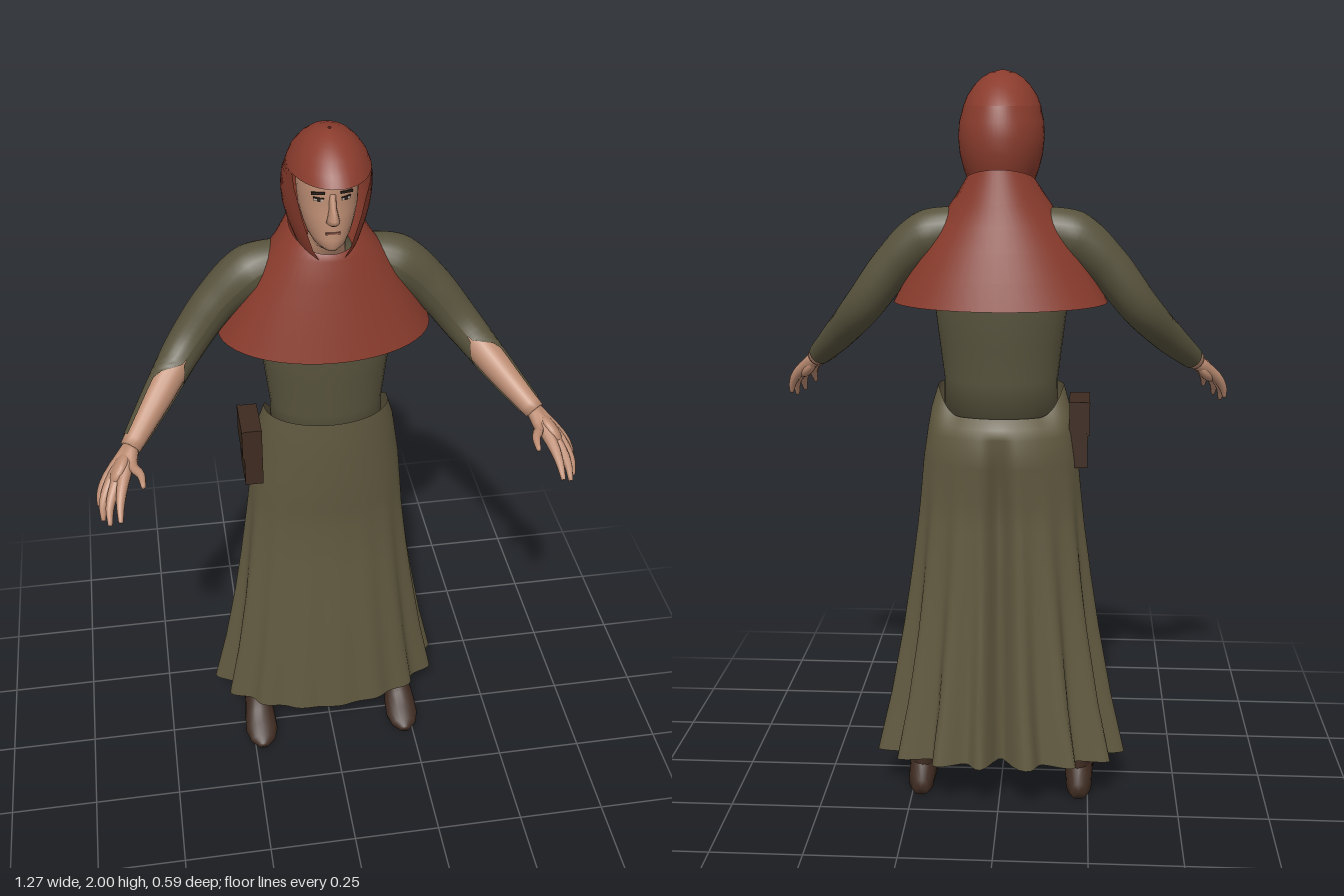
import * as THREE from 'three';

const mat = (name, color, side = THREE.FrontSide) => {
  const m = new THREE.MeshStandardMaterial({ color, side });
  m.name = name;
  return m;
};
const V = (x, y, z) => new THREE.Vector3(x, y, z);

// Skin a list of equal-length rings; closed rings share their seam, caps are fans
function loft(rings, { closed = true, cap = false } = {}) {
  const n = rings[0].length, pos = [], idx = [];
  rings.forEach(r => r.forEach(p => pos.push(p.x, p.y, p.z)));
  for (let i = 0; i < rings.length - 1; i++) {
    for (let j = 0; j < (closed ? n : n - 1); j++) {
      const a = i * n + j, b = i * n + (j + 1) % n, c = a + n, d = b + n;
      idx.push(a, b, c, b, d, c);
    }
  }
  if (cap) {
    [0, rings.length - 1].forEach(i => {
      const mid = rings[i].reduce((s, p) => s.add(p), V(0, 0, 0)).divideScalar(n);
      const k = pos.length / 3;
      pos.push(mid.x, mid.y, mid.z);
      for (let j = 0; j < n; j++) {
        const a = i * n + j, b = i * n + (j + 1) % n;
        if (i === 0) idx.push(b, a, k); else idx.push(a, b, k);
      }
    });
  }
  const g = new THREE.BufferGeometry();
  g.setAttribute('position', new THREE.Float32BufferAttribute(pos, 3));
  g.setIndex(idx);
  g.computeVertexNormals();
  return g;
}

// Horizontal oval ring: row = [y, half width, front z, back z], starting at the front
function oval([y, rx, zf, zb], n = 32) {
  return Array.from({ length: n }, (_, j) => {
    const t = j / n * Math.PI * 2;
    return V(rx * Math.sin(t), y, (zf + zb) / 2 + (zf - zb) / 2 * Math.cos(t));
  });
}

// Interpolate a list of numbers, t in 0..1
function sample(list, t) {
  const f = t * (list.length - 1), i = Math.min(Math.floor(f), list.length - 2);
  return THREE.MathUtils.lerp(list[i], list[i + 1], f - i);
}

// Tapered limb along a curve; gap(t) opens it towards the direction 'face'
function limb(points, radii, { from = 0, to = 1, steps = 20, n = 16, gap = null, face = V(-0.35, 0.3, 0.9), cap = false } = {}) {
  const curve = new THREE.CatmullRomCurve3(points.map(p => V(...p)));
  const rings = [];
  for (let i = 0; i <= steps; i++) {
    const t = THREE.MathUtils.lerp(from, to, i / steps);
    const c = curve.getPoint(t), T = curve.getTangent(t), r = sample(radii, t);
    const f = face.clone().addScaledVector(T, -face.dot(T)).normalize();
    const s = T.clone().cross(f), g = gap ? gap(t) : 0;
    rings.push(Array.from({ length: n }, (_, j) => {
      const a = gap ? g + (Math.PI * 2 - 2 * g) * j / (n - 1) : Math.PI * 2 * j / n;
      return c.clone().addScaledVector(f, r * Math.cos(a)).addScaledVector(s, r * Math.sin(a));
    }));
  }
  return loft(rings, { closed: !gap, cap });
}

export function createModel() {
  const root = new THREE.Group();
  const D = THREE.DoubleSide;
  const red = mat('red wool', 0x8a3c2d, D);
  const olive = mat('olive tunic', 0x58533d, D);
  const skirtCloth = mat('olive skirt', 0x615940, D);
  const skin = mat('skin', 0xbd8d73);
  const brown = mat('dark leather', 0x3e2b21);
  const dark = mat('dark hair', 0x2a1f1a);
  const white = mat('eye white', 0xb9aca0);
  const lip = mat('lip', 0x8d5a4b);
  const add = (name, geo, m, parent = root) => {
    const mesh = new THREE.Mesh(geo, m);
    mesh.name = name;
    parent.add(mesh);
    return mesh;
  };

  // Torso
  add('torso', loft([
    [1.08, 0.155, 0.035, -0.17], [1.2, 0.153, 0.04, -0.176], [1.3, 0.165, 0.044, -0.187],
    [1.41, 0.178, 0.05, -0.197], [1.55, 0.17, 0.04, -0.2], [1.64, 0.1, 0.0, -0.17],
  ].map(r => oval(r)), { cap: true }), olive);

  // Long skirt: folds deepen towards the hem and the back, with a cleft down the back
  const skirtRows = [
    [0.12, 0.325, 0.085, -0.275], [0.3, 0.292, 0.075, -0.255], [0.5, 0.262, 0.06, -0.235],
    [0.65, 0.243, 0.048, -0.225], [0.8, 0.226, 0.038, -0.218], [0.88, 0.219, 0.046, -0.216],
    [0.98, 0.21, 0.05, -0.228], [1.06, 0.198, 0.052, -0.228], [1.12, 0.188, 0.052, -0.205],
    [1.18, 0.17, 0.05, -0.18],
  ];
  const skirtRings = skirtRows.map((row, i) => {
    const depth = THREE.MathUtils.clamp((0.95 - row[0]) / 0.83, 0, 1);
    const zc = (row[2] + row[3]) / 2;
    return oval(row, 144).map((p, j) => {
      const t = j / 144 * Math.PI * 2, back = (1 - Math.cos(t)) / 2;
      const wave = Math.sin(t * 15 + 1.2 * Math.sin(t * 2) + 0.6);
      const k = 1 + depth * wave * (0.015 + 0.085 * Math.min(1, back * 1.6));
      p.x *= k;
      p.z = zc + (p.z - zc) * k;
      if (back > 0.5) {
        const cleft = Math.exp(-((p.x / 0.03) ** 2)) * THREE.MathUtils.clamp((1.1 - row[0]) / 0.2, 0, 1);
        p.z += 0.045 * cleft;
        if (i === 0) p.y += 0.025 * (back - 0.5) * 2;
      }
      if (i >= 8) p.y -= (i - 7) * 0.036 * THREE.MathUtils.smoothstep(back, 0.55, 0.9);
      return p;
    });
  });
  add('skirt', loft(skirtRings), skirtCloth);

  // Shoulder cape, its neckline higher at the back
  add('shoulderCape', loft([
    [1.41, 0.282, 0.102, -0.296], [1.48, 0.244, 0.087, -0.277], [1.55, 0.205, 0.072, -0.256],
    [1.61, 0.168, 0.058, -0.238], [1.67, 0.127, 0.045, -0.22], [1.72, 0.092, 0.035, -0.2],
  ].map((r, i) => oval(r, 48).map((p, j) => {
    if (i === 5) p.y -= 0.035 * Math.cos(j / 48 * Math.PI * 2);
    return p;
  }))), red);

  // Hood: a closed peaked crown above an open-fronted lower part
  add('hoodCrown', loft([
    [1.91, 0.101, 0.142, -0.175], [1.935, 0.091, 0.126, -0.155], [1.96, 0.074, 0.1, -0.122],
    [1.98, 0.054, 0.07, -0.088], [1.993, 0.032, 0.04, -0.05], [2.0, 0.004, 0.004, -0.006],
  ].map(r => oval(r, 40)), { cap: false }), red);
  const hoodRows = [
    [1.67, 0.062, 0.05, -0.15], [1.7, 0.08, 0.058, -0.162], [1.75, 0.098, 0.065, -0.18],
    [1.79, 0.108, 0.072, -0.19], [1.83, 0.112, 0.08, -0.193], [1.87, 0.11, 0.1, -0.188],
    [1.91, 0.101, 0.142, -0.175],
  ];
  add('hoodSides', loft(hoodRows.map(([y, rx, zf, zb]) => {
    const zc = (zf + zb) / 2, rz = (zf - zb) / 2, cut = Math.acos((0.038 - zc) / rz);
    return Array.from({ length: 41 }, (_, j) => {
      const t = cut + (Math.PI * 2 - 2 * cut) * j / 40;
      return V(rx * Math.sin(t), y, zc + rz * Math.cos(t));
    });
  }), { closed: false }), red);

  // Head and face
  const head = new THREE.Group();
  head.name = 'head';
  root.add(head);
  add('skull', loft([
    [1.62, 0.05, 0.0, -0.12], [1.69, 0.047, 0.01, -0.12], [1.703, 0.032, 0.05, -0.11],
    [1.715, 0.044, 0.061, -0.11], [1.735, 0.055, 0.06, -0.115], [1.765, 0.065, 0.058, -0.12],
    [1.8, 0.073, 0.055, -0.125], [1.835, 0.076, 0.05, -0.13], [1.86, 0.077, 0.054, -0.13],
    [1.91, 0.074, 0.044, -0.12], [1.95, 0.05, 0.02, -0.09],
  ].map(r => oval(r)), { cap: true }), skin, head);
  add('nose', loft([
    [1.777, 0.009, 0.068, 0.04], [1.785, 0.017, 0.08, 0.035], [1.797, 0.014, 0.084, 0.035],
    [1.82, 0.009, 0.07, 0.035], [1.855, 0.008, 0.057, 0.035],
  ].map(r => oval(r, 12)), { cap: true }), skin, head);
  add('mouth', new THREE.BoxGeometry(0.036, 0.005, 0.006), lip, head).position.set(0, 1.755, 0.057);
  for (const s of [-1, 1]) {
    const plate = (name, w, h, m, x, y, z, roll = 0) => {
      const p = add(name, new THREE.BoxGeometry(w, h, 0.006), m, head);
      p.position.set(s * x, y, z);
      p.rotation.set(0, s * 0.4, s * roll);
    };
    plate('eyebrow', 0.034, 0.006, dark, 0.034, 1.857, 0.044, -0.1);
    plate('eyeWhite', 0.023, 0.007, white, 0.033, 1.839, 0.0405);
    plate('iris', 0.009, 0.008, dark, 0.032, 1.839, 0.042);
    plate('eyelid', 0.026, 0.003, dark, 0.033, 1.8435, 0.042);
  }

  // Left side limbs, then mirrored
  const side = new THREE.Group();
  side.name = 'leftLimbs';
  root.add(side);
  const armPath = [[0.1, 1.6, -0.11], [0.19, 1.578, -0.105], [0.275, 1.51, -0.1],
    [0.37, 1.39, -0.075], [0.455, 1.295, 0.015], [0.535, 1.215, 0.115]];
  const armRadii = [0.06, 0.07, 0.058, 0.052, 0.043, 0.03];
  add('sleeve', limb(armPath, armRadii, {
    steps: 36, n: 24, to: 0.97,
    gap: t => 1.25 * THREE.MathUtils.smoothstep(t, 0.66, 0.76),
  }), olive, side);
  add('forearm', limb(armPath, armRadii.map(r => r * 0.92), { from: 0.55, steps: 16, cap: true }), skin, side);

  // Hand: each finger runs from the wrist through its knuckle to the tip
  const palm = add('palm', new THREE.SphereGeometry(1, 16, 12), skin, side);
  palm.scale.set(0.02, 0.037, 0.05);
  palm.position.set(0.567, 1.182, 0.157);
  palm.rotation.set(0.55, 0.45, 0.35);
  const fingers = {
    thumb: [[0.535, 1.195, 0.165], [0.515, 1.197, 0.21], [0.51, 1.19, 0.255]],
    indexFinger: [[0.563, 1.167, 0.21], [0.572, 1.14, 0.25], [0.575, 1.11, 0.288]],
    middleFinger: [[0.583, 1.157, 0.2], [0.6, 1.122, 0.238], [0.603, 1.088, 0.268]],
    ringFinger: [[0.598, 1.152, 0.185], [0.617, 1.115, 0.215], [0.62, 1.08, 0.235]],
    littleFinger: [[0.603, 1.155, 0.163], [0.622, 1.122, 0.18], [0.628, 1.095, 0.19]],
  };
  for (const [name, pts] of Object.entries(fingers)) {
    add(name, limb([[0.535, 1.215, 0.115], ...pts], [0.022, 0.015, 0.011, 0.006],
      { steps: 10, n: 10, cap: true }), skin, side);
  }

  // Leg and shoe
  add('leg', limb([[0.12, 0.95, -0.08], [0.17, 0.55, -0.08], [0.22, 0.12, -0.085]], [0.075, 0.055, 0.04],
    { steps: 8, cap: true }), olive, side);
  const ankle = add('shoeAnkle', new THREE.CylinderGeometry(0.034, 0.037, 0.13, 18), brown, side);
  ankle.scale.z = 1.75;
  ankle.position.set(0.222, 0.105, -0.083);
  const shoeRows = [[-0.165, 0.02, 0.045], [-0.145, 0.036, 0.085], [-0.08, 0.04, 0.12], [-0.02, 0.043, 0.105],
    [0.02, 0.048, 0.075], [0.06, 0.049, 0.052], [0.095, 0.038, 0.036], [0.115, 0.014, 0.02]];
  add('shoe', loft(shoeRows.map(([z, hx, h]) => Array.from({ length: 20 }, (_, j) => {
    const t = j / 20 * Math.PI * 2;
    return V(0.225 - hx * Math.sin(t), Math.max(0, h * (0.42 + 0.58 * Math.cos(t))), z);
  })), { cap: true }), brown, side);

  const other = side.clone();
  other.name = 'rightLimbs';
  other.scale.x = -1;
  root.add(other);

  // Belt pouch on the right hip
  const pouch = add('pouch', new THREE.BoxGeometry(0.05, 0.18, 0.13), brown);
  pouch.position.set(-0.21, 1.055, -0.065);
  const flap = add('pouchFlap', new THREE.BoxGeometry(0.008, 0.09, 0.136), brown);
  flap.position.set(-0.236, 1.1, -0.065);

  return root;
}
